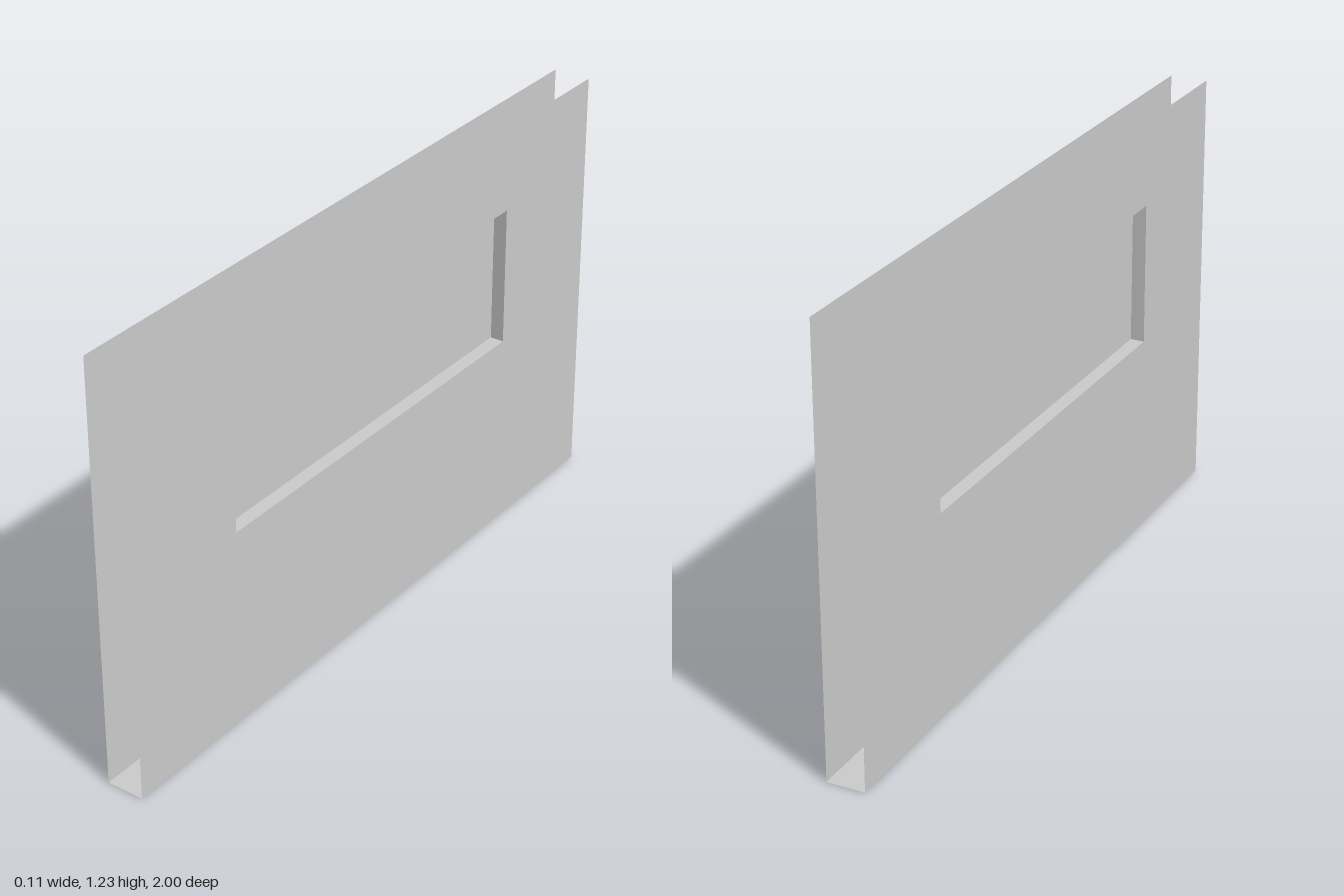
import * as THREE from 'three';

export function createModel() {
  const group = new THREE.Group();
  const grey = new THREE.MeshStandardMaterial({ color: 0xcccccc, side: THREE.DoubleSide });
  grey.name = 'light grey';

  const halfT = 0.054, height = 1.225, length = 2;
  const win = { z: 0.6, y0: 0.575, y1: 0.98 };
  const winH = win.y1 - win.y0, winY = (win.y0 + win.y1) / 2;
  const paneX = 0.014;

  const add = (name, geometry, x, y, z) => {
    const mesh = new THREE.Mesh(geometry, grey);
    mesh.name = name;
    mesh.position.set(x, y, z);
    group.add(mesh);
  };

  // wall sheet with a window opening
  const wall = new THREE.Shape([
    new THREE.Vector2(-1, 0), new THREE.Vector2(1, 0),
    new THREE.Vector2(1, height), new THREE.Vector2(-1, height),
  ]);
  wall.holes.push(new THREE.Path([
    new THREE.Vector2(-win.z, win.y0), new THREE.Vector2(-win.z, win.y1),
    new THREE.Vector2(win.z, win.y1), new THREE.Vector2(win.z, win.y0),
  ]));

  // two sheets, each with its own pane and its window jambs
  for (const side of [1, -1]) {
    const label = side > 0 ? 'left' : 'right';
    const turn = side * Math.PI / 2;
    add(label + 'Wall', new THREE.ShapeGeometry(wall).rotateY(turn), side * halfT, 0, 0);
    add(label + 'Pane', new THREE.PlaneGeometry(2 * win.z, winH).rotateY(turn), side * paneX, winY, 0);
    add(side > 0 ? 'frontJamb' : 'backJamb',
      new THREE.PlaneGeometry(2 * halfT, winH).rotateY(side > 0 ? Math.PI : 0), 0, winY, side * win.z);
  }

  // sill, lintel and the closed underside; ends and top stay open
  add('windowSill', new THREE.PlaneGeometry(2 * halfT, 2 * win.z).rotateX(-Math.PI / 2), 0, win.y0, 0);
  add('windowLintel', new THREE.PlaneGeometry(2 * halfT, 2 * win.z).rotateX(Math.PI / 2), 0, win.y1, 0);
  add('wallBase', new THREE.PlaneGeometry(2 * halfT, length).rotateX(Math.PI / 2), 0, 0, 0);

  return group;
}
